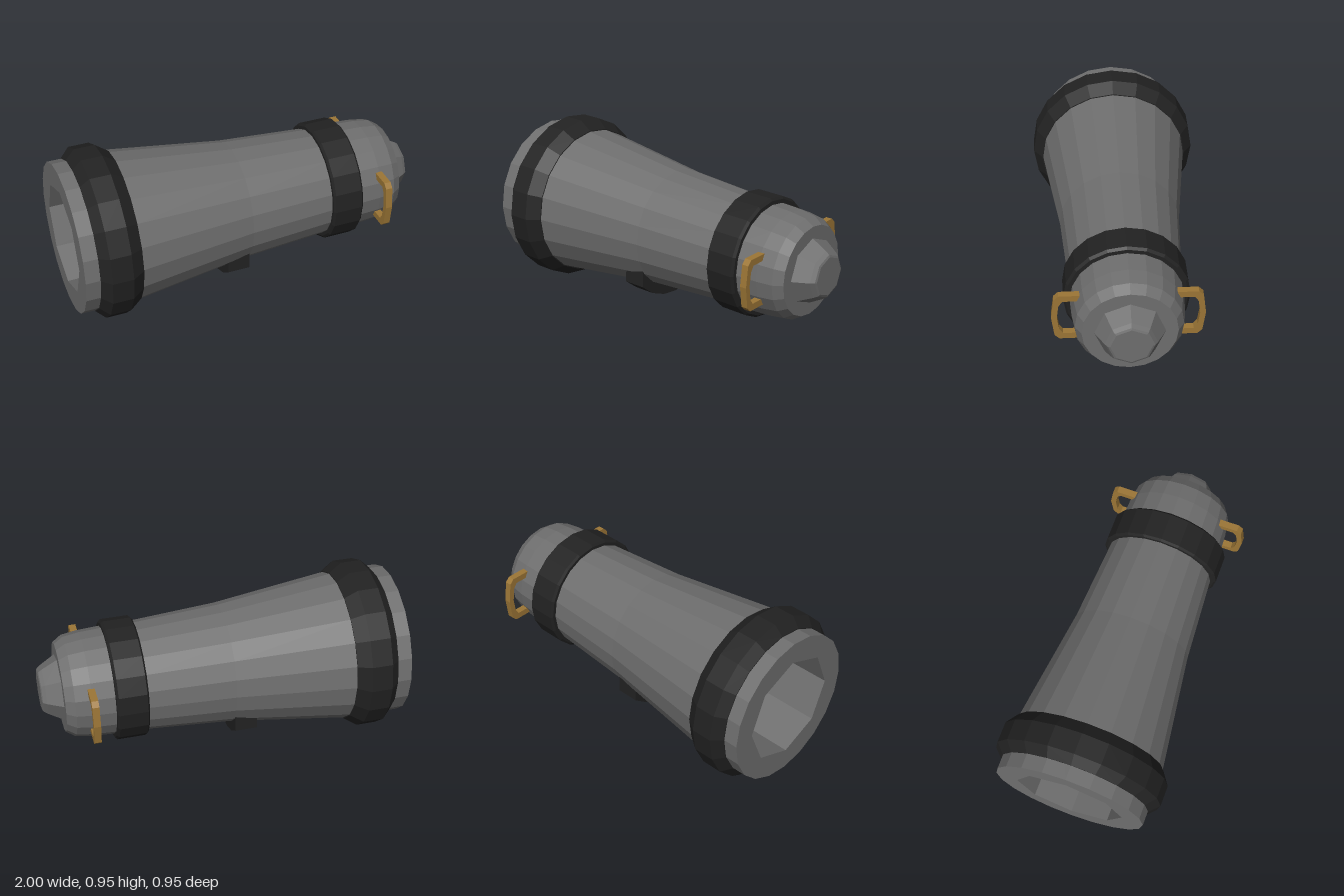
import * as THREE from 'three';

const AXIS = 0.476;
const mat = (color) => new THREE.MeshStandardMaterial({ color, flatShading: true });

export function createModel() {
  const model = new THREE.Group();
  const grey = mat(0x6e6e6e), black = mat(0x222222), brass = mat(0x9c7636);

  const add = (name, geometry, material) => {
    const mesh = new THREE.Mesh(geometry, material);
    mesh.name = name;
    mesh.position.y = AXIS;
    model.add(mesh);
  };
  // Turned part along x; profile is [x, radius]
  const turned = (name, profile, sides, material) => {
    const pts = profile.map(([x, r]) => new THREE.Vector2(r, x));
    add(name, new THREE.LatheGeometry(pts, sides).rotateZ(-Math.PI / 2), material);
  };
  // Plate cut in the z-y plane, running from x0 to x1
  const plate = (name, points, x0, x1, material) => {
    const shape = new THREE.Shape(points.map(([z, y]) => new THREE.Vector2(z, y)));
    const geo = new THREE.ExtrudeGeometry(shape, { depth: x1 - x0, bevelEnabled: false });
    add(name, geo.rotateY(-Math.PI / 2).translate(x1, 0, 0), material);
  };
  const polygon = (radius, sides) => Array.from({ length: sides }, (_, i) => {
    const a = (i / sides) * Math.PI * 2;
    return new THREE.Vector2(radius * Math.cos(a), radius * Math.sin(a));
  });

  // Barrel with rounded breech
  turned('barrel', [[-1, 0.42], [-0.69, 0.42], [-0.03, 0.335], [0.46, 0.303], [0.63, 0.3],
    [0.75, 0.294], [0.84, 0.281], [0.89, 0.248], [0.89, 0]], 20, grey);

  // Muzzle face and eight-sided bore
  const face = new THREE.Shape(polygon(0.42, 20));
  face.holes.push(new THREE.Path(polygon(0.3, 8).reverse()));
  add('muzzleFace', new THREE.ShapeGeometry(face).rotateY(-Math.PI / 2).translate(-1, 0, 0), grey);
  turned('bore', [[-0.1, 0], [-0.1, 0.3], [-1, 0.3]], 8, grey);

  // Breech knob
  turned('breechKnob', [[0.885, 0.186], [0.975, 0.135], [0.995, 0.12], [1, 0.108], [1, 0]], 8, grey);

  // Reinforcing bands
  turned('muzzleBand', [[-0.92, 0.4], [-0.92, 0.425], [-0.87, 0.474], [-0.755, 0.474],
    [-0.685, 0.425], [-0.685, 0.4]], 20, black);
  turned('breechBand', [[0.45, 0.28], [0.45, 0.322], [0.46, 0.335], [0.615, 0.335],
    [0.627, 0.322], [0.627, 0.28]], 20, black);

  // Curved saddle under the barrel
  const arc = (radius, half) => Array.from({ length: 7 }, (_, i) => {
    const a = half * (i / 3 - 1);
    return [radius * Math.sin(a), -radius * Math.cos(a)];
  });
  plate('saddle', [...arc(0.395, 0.8), [0.28, -0.18], ...arc(0.31, 0.95).reverse(), [-0.28, -0.18]],
    -0.16, -0.035, black);

  // Side handles
  const outer = [[0.25, 0.143], [0.36, 0.143], [0.385, 0.118], [0.4, 0]];
  const inner = [[0.25, 0.107], [0.34, 0.107], [0.36, 0.077], [0.37, 0]];
  const lower = (pts) => pts.slice(0, 3).reverse().map(([z, y]) => [z, -y]);
  const loop = [...outer, ...lower(outer), ...[...inner, ...lower(inner)].reverse()];
  for (const [name, s] of [['frontHandle', 1], ['backHandle', -1]]) {
    plate(name, loop.map(([z, y]) => [s * z, y + 0.004]), 0.73, 0.768, brass);
  }

  return model;
}
